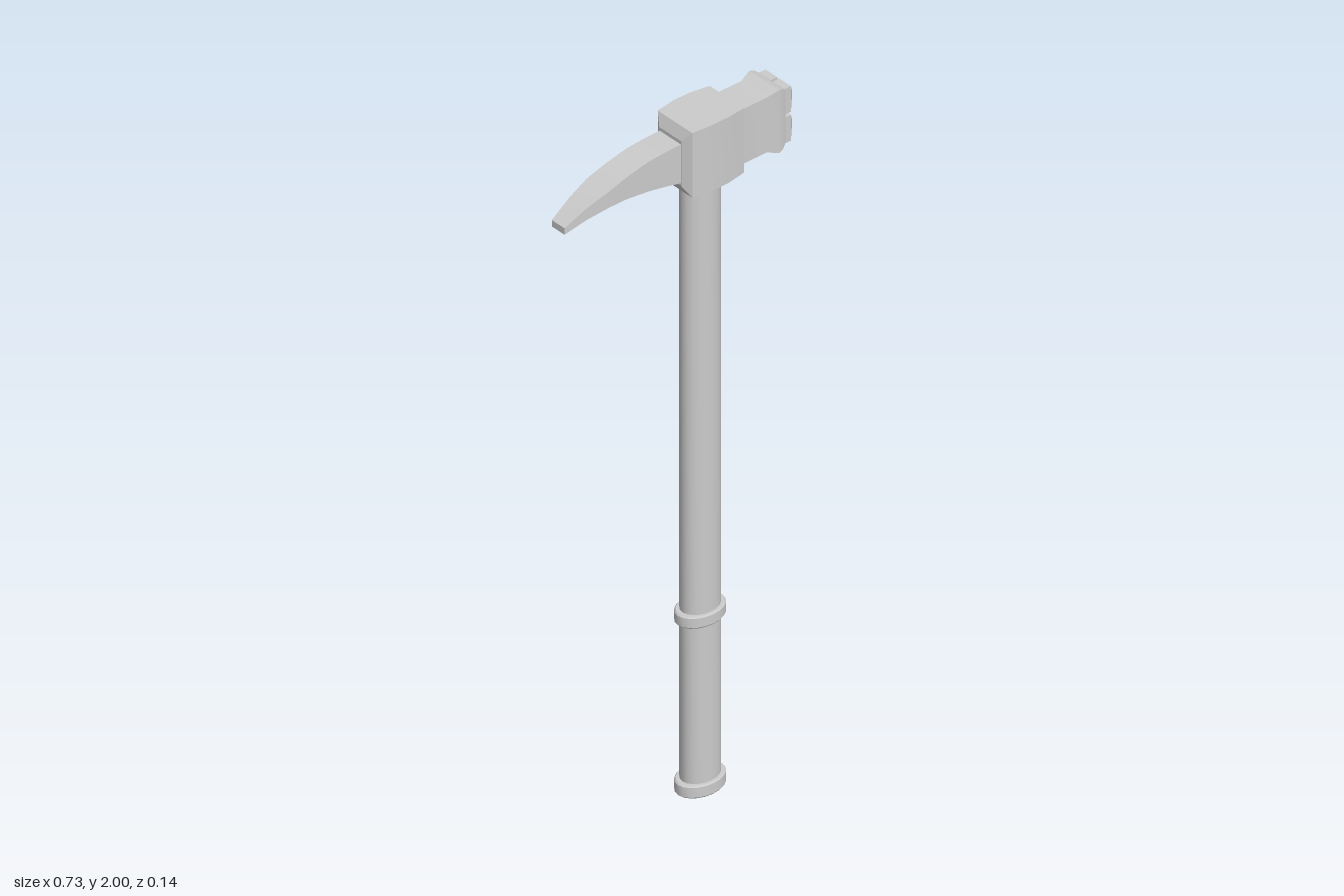
import * as THREE from 'three';
import { toCreasedNormals } from 'three/addons/utils/BufferGeometryUtils.js';

const material = new THREE.MeshStandardMaterial({ color: 0xcccccc });

// Joins rectangular sections [x, bottom, top, halfDepth, zCentre] listed from -x to +x
function loft(sections) {
  const pos = [], idx = [];
  for (const [x, y0, y1, d, z = 0] of sections) {
    pos.push(x, y0, z + d, x, y1, z + d, x, y1, z - d, x, y0, z - d);
  }
  for (let s = 0; s < sections.length - 1; s++) {
    for (let k = 0; k < 4; k++) {
      const a = s * 4 + k, b = s * 4 + (k + 1) % 4;
      idx.push(a, a + 4, b, b, a + 4, b + 4);
    }
  }
  const e = (sections.length - 1) * 4;
  idx.push(0, 1, 2, 0, 2, 3, e, e + 2, e + 1, e, e + 3, e + 2);
  const g = new THREE.BufferGeometry();
  g.setAttribute('position', new THREE.Float32BufferAttribute(pos, 3));
  g.setIndex(idx);
  return toCreasedNormals(g, 0.4);
}

// Oval turned part from [radius, y] points, flattened in depth
function turned(points, depthRatio) {
  const g = new THREE.LatheGeometry(points.map(p => new THREE.Vector2(...p)), 20);
  g.scale(1, 1, depthRatio);
  g.translate(0.091, 0, 0);
  return toCreasedNormals(g, 0.5);
}

export function createModel() {
  const model = new THREE.Group();
  model.name = 'warHammer';
  const add = (name, geometry) => {
    const mesh = new THREE.Mesh(geometry, material);
    mesh.name = name;
    model.add(mesh);
  };

  // Oval shaft with its grip rings and the collar under the head
  add('shaft', turned([[0, 0.01], [0.057, 0.01], [0.057, 1.82], [0, 1.82]], 0.74));
  const ring = (name, y0, y1, r, ratio, bevel) => add(name, turned([
    [0, y0], [r - bevel, y0], [r, y0 + bevel], [r, y1 - bevel], [r - bevel, y1], [0, y1],
  ], ratio));
  ring('pommelRing', 0, 0.037, 0.072, 0.71, 0.004);
  ring('gripRing', 0.502, 0.537, 0.072, 0.71, 0.004);
  ring('headCollar', 1.79, 1.82, 0.063, 0.76, 0.003);

  // Central block, bulging in depth with bevelled ends
  add('headBlock', loft([
    [-0.005, 1.835, 1.968, 0.042], [0.01, 1.807, 1.998, 0.065], [0.065, 1.805, 2, 0.072],
    [0.12, 1.805, 2, 0.072], [0.177, 1.807, 1.998, 0.064], [0.19, 1.82, 1.982, 0.048],
  ]));

  // Striking end with a flared face
  add('strikingHead', loft([
    [0.18, 1.82, 1.982, 0.048], [0.265, 1.82, 1.982, 0.048], [0.297, 1.808, 1.994, 0.056],
    [0.312, 1.812, 1.99, 0.054], [0.323, 1.822, 1.98, 0.05],
  ]));

  // Four pyramid studs on the striking face
  for (const y of [1.859, 1.944]) {
    for (const z of [-0.026, 0.026]) {
      add('stud', loft([
        [0.318, y - 0.038, y + 0.038, 0.022, z],
        [0.343, y - 0.038, y + 0.038, 0.022, z],
        [0.365, y - 0.001, y + 0.001, 0.001, z],
      ]));
    }
  }

  // Curved beak drooping to a narrow tip
  add('beak', loft([
    [-0.367, 1.842, 1.861, 0.024], [-0.305, 1.861, 1.895, 0.032], [-0.24, 1.873, 1.92, 0.04],
    [-0.18, 1.873, 1.938, 0.04], [-0.11, 1.865, 1.953, 0.04], [-0.05, 1.854, 1.957, 0.04],
    [0.01, 1.84, 1.958, 0.04],
  ]));

  return model;
}
